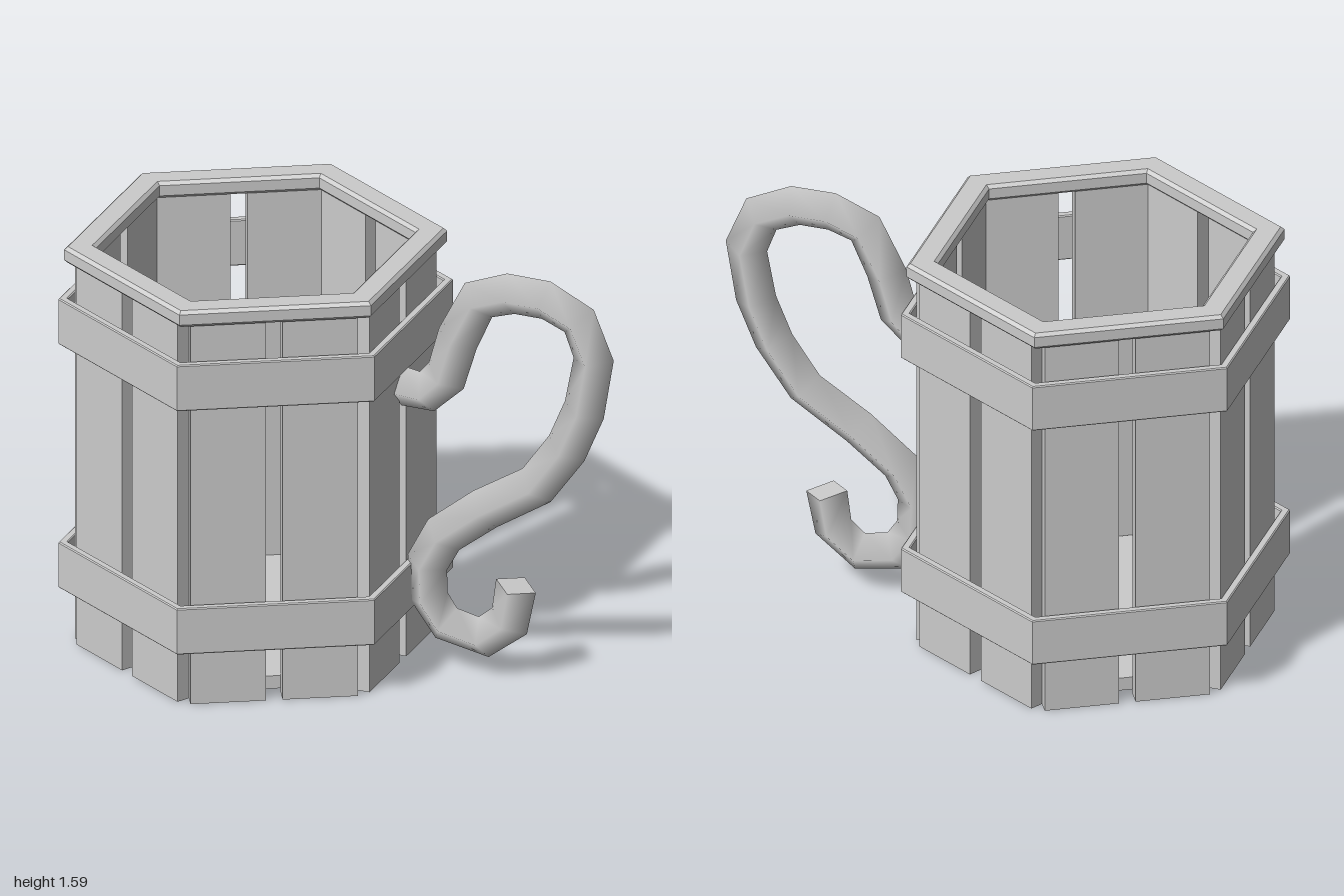
import * as THREE from 'three';
import { toCreasedNormals } from 'three/addons/utils/BufferGeometryUtils.js';

const material = new THREE.MeshStandardMaterial({ color: 0xcccccc });
const ROOT3 = Math.sqrt(3);

function part(name, geometry) {
  const mesh = new THREE.Mesh(geometry, material);
  mesh.name = name;
  return mesh;
}

// Hexagonal ring with bevelled edges; inner and outer are centre-to-side distances
function hexRing(name, inner, outer, y0, y1, bevel) {
  const k = 2 / ROOT3;
  const profile = [
    [outer - bevel, y0], [outer, y0 + bevel], [outer, y1 - bevel], [outer - bevel, y1],
    [inner + bevel, y1], [inner, y1 - bevel], [inner, y0 + bevel], [inner + bevel, y0],
    [outer - bevel, y0],
  ].map(([r, y]) => new THREE.Vector2(r * k, y));
  return part(name, toCreasedNormals(new THREE.LatheGeometry(profile, 6), 0.6));
}

// Two planks on each of the six sides, with gaps at the middles and corners
function buildStaves() {
  const staves = new THREE.Group();
  staves.name = 'staves';
  const plank = new THREE.BoxGeometry(0.06, 1.5, 0.27);
  for (let i = 0; i < 6; i++) {
    const side = new THREE.Group();
    side.name = 'staveSide';
    side.rotation.y = i * Math.PI / 3;
    for (const s of [-1, 1]) {
      const stave = part('stave', plank);
      stave.position.set(0.54, 0.75, s * 0.165);
      side.add(stave);
    }
    staves.add(side);
  }
  return staves;
}

// S-shaped handle of diamond section, with one ring at each path point
function buildHandle() {
  const handle = new THREE.Group();
  handle.name = 'handle';
  const points = [
    [0.18, 1.075], [0.275, 1.07], [0.35, 1.145], [0.395, 1.3], [0.475, 1.465],
    [0.6, 1.513], [0.737, 1.513], [0.865, 1.455], [0.921, 1.315], [0.885, 1.11],
    [0.817, 0.947], [0.7, 0.78], [0.5, 0.65], [0.34, 0.52], [0.277, 0.4],
    [0.282, 0.27], [0.35, 0.175], [0.495, 0.147], [0.595, 0.228], [0.62, 0.37],
  ].map(([x, y]) => new THREE.Vector3(x, y, 0));
  const path = new THREE.CatmullRomCurve3(points);
  path.getPointAt = (t, target) => path.getPoint(t, target);
  path.getTangentAt = (t, target) => path.getTangent(t, target);
  const radius = 0.078;
  handle.add(part('handleBar', new THREE.TubeGeometry(path, points.length - 1, radius, 4)));

  // Flat end caps
  for (const [t, dir] of [[0, -1], [1, 1]]) {
    const cap = part('handleEnd', new THREE.CircleGeometry(radius, 4));
    const p = path.getPoint(t);
    cap.position.copy(p);
    cap.lookAt(p.clone().addScaledVector(path.getTangent(t), dir));
    handle.add(cap);
  }
  return handle;
}

export function createModel() {
  const model = new THREE.Group();
  model.name = 'woodenMug';

  // Body: staves, floor, rim and two hoops
  const body = new THREE.Group();
  body.name = 'body';
  body.position.x = -0.388;
  body.add(buildStaves());

  const floorRadius = 0.505 * 2 / ROOT3;
  const floor = part('floor', toCreasedNormals(
    new THREE.CylinderGeometry(floorRadius, floorRadius, 0.05, 6), 0.5));
  floor.position.y = 0.04;
  body.add(floor);

  body.add(hexRing('rim', 0.495, 0.594, 1.488, 1.552, 0.012));
  body.add(hexRing('lowerHoop', 0.582, 0.612, 0.215, 0.395, 0.004));
  body.add(hexRing('upperHoop', 0.582, 0.612, 1.17, 1.35, 0.004));
  model.add(body);

  model.add(buildHandle());
  return model;
}
